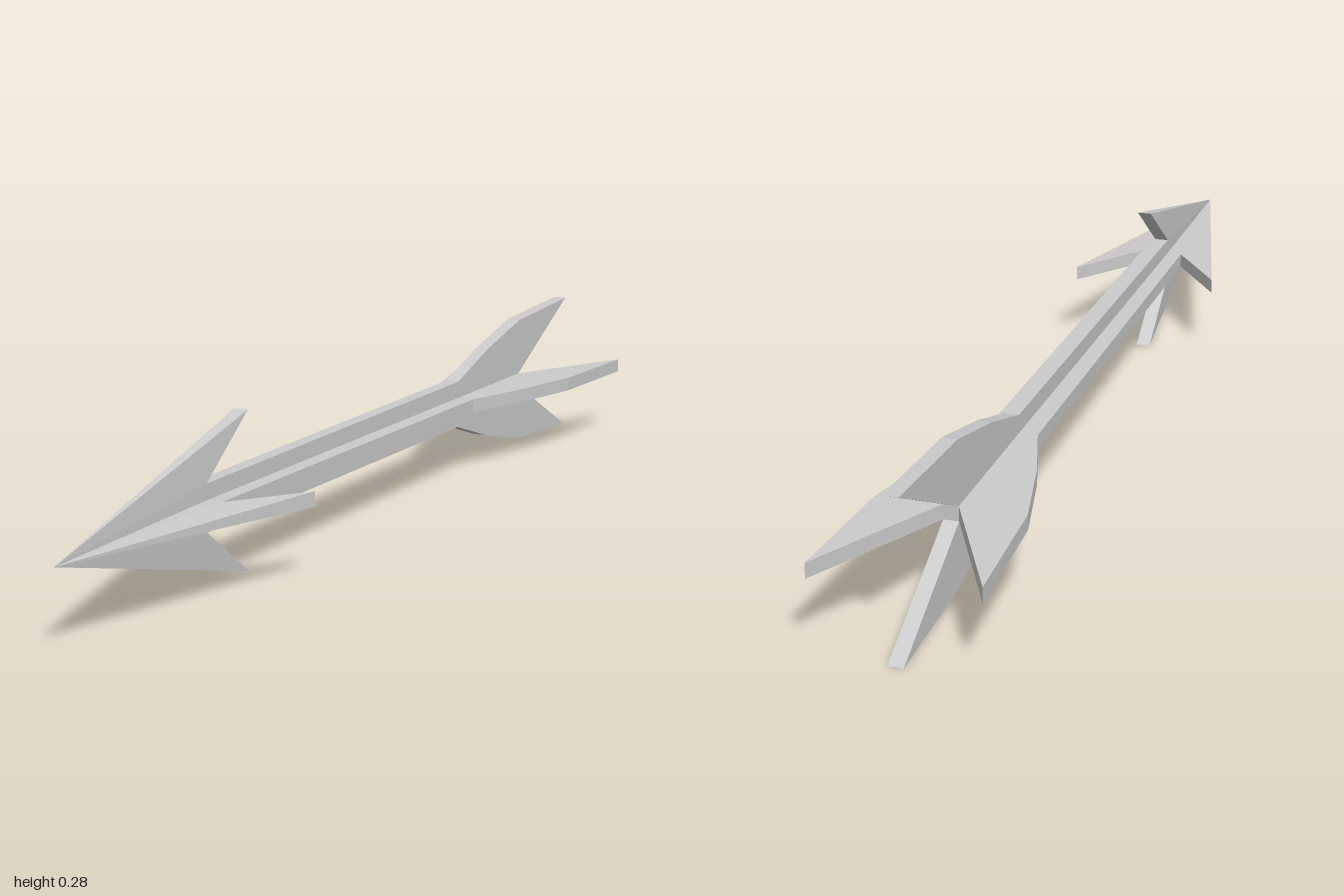
import * as THREE from 'three';

const THICK = 0.027;   // plate thickness
const REACH = 0.1425;  // half span of barbs and feathers

// Flat plate lying in the XZ plane, mirrored from a half outline of [x, z] points
function plate(half) {
  const mirrored = half.filter(([x]) => x > 0).reverse().map(([x, z]) => [-x, z]);
  const shape = new THREE.Shape([...half, ...mirrored].map(([x, z]) => new THREE.Vector2(x, z)));
  const geo = new THREE.ExtrudeGeometry(shape, { depth: THICK, bevelEnabled: false });
  return geo.translate(0, 0, -THICK / 2).rotateX(Math.PI / 2);
}

// Barbed head: thickness closes to a single point at the tip
function headGeometry() {
  const geo = plate([[0, 1], [REACH, 0.43], [0.042, 0.57]]);
  const pos = geo.attributes.position;
  for (let i = 0; i < pos.count; i++) if (pos.getZ(i) > 0.99) pos.setY(i, 0);
  geo.computeVertexNormals();
  return geo;
}

// Shaft widening into swept feathers with a V notch at the back
function shaftGeometry() {
  return plate([
    [0.042, 0.57], [0.047, -0.43], [0.09, -0.57],
    [0.129, -0.74], [REACH, -1], [THICK / 2, -0.74],
  ]);
}

export function createModel() {
  const model = new THREE.Group();
  model.name = 'arrow';
  const material = new THREE.MeshStandardMaterial({ color: 0xcccccc, flatShading: true });
  const head = headGeometry();
  const shaft = shaftGeometry();

  // Two identical blades crossing at right angles
  ['horizontalBlade', 'verticalBlade'].forEach((name, i) => {
    const blade = new THREE.Group();
    blade.name = name;
    const headMesh = new THREE.Mesh(head, material);
    headMesh.name = 'arrowhead';
    const shaftMesh = new THREE.Mesh(shaft, material);
    shaftMesh.name = 'shaftAndFeathers';
    blade.add(headMesh, shaftMesh);
    blade.rotation.z = i * Math.PI / 2;
    blade.position.y = REACH;
    model.add(blade);
  });
  return model;
}
